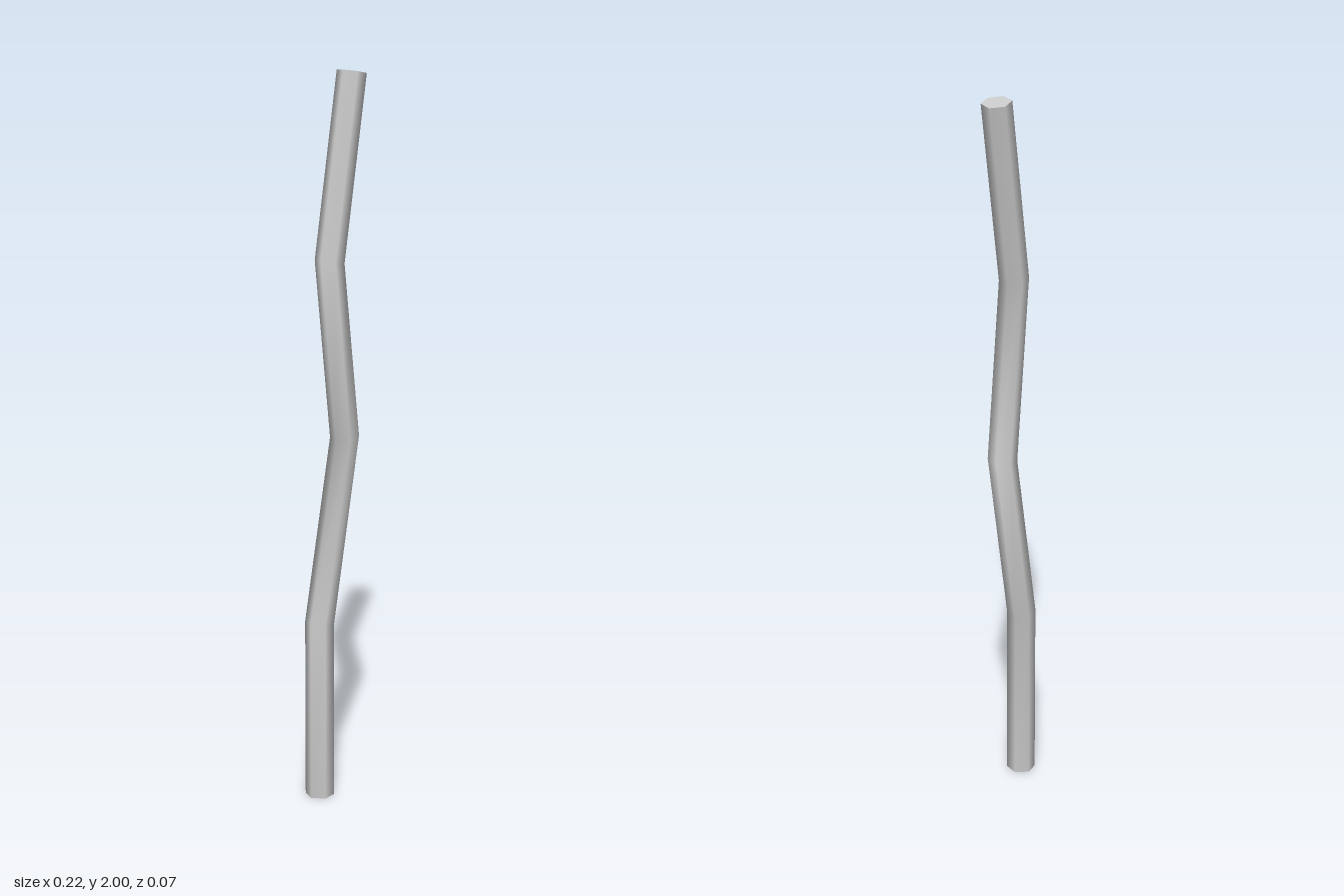
import * as THREE from 'three';

// Centre line of the rod: x, y and clockwise tilt of each cross-section (radians)
const RINGS = [
  [-0.072, 0, 0],
  [-0.072, 0.505, 0.15],
  [0.042, 1.01, -0.18],
  [-0.025, 1.5, 0.19],
  [0.072, 1.992, 0.19],
];

export function createModel() {
  const group = new THREE.Group();
  group.name = 'bentRod';

  // Six-sided cylinder with one row of vertices per bend, corners on the x axis
  const steps = RINGS.length - 1;
  const geometry = new THREE.CylinderGeometry(0.04, 0.04, steps, 6, steps);
  geometry.rotateY(Math.PI / 2);

  // Move each row to its place on the centre line and tilt it
  const axis = new THREE.Vector3(0, 0, 1);
  const p = new THREE.Vector3();
  const n = new THREE.Vector3();
  const { position, normal } = geometry.attributes;
  for (let i = 0; i < position.count; i++) {
    p.fromBufferAttribute(position, i);
    n.fromBufferAttribute(normal, i);
    const [x, y, tilt] = RINGS[Math.round(p.y + steps / 2)];
    p.setY(0).applyAxisAngle(axis, -tilt);
    n.applyAxisAngle(axis, -tilt);
    position.setXYZ(i, p.x + x, p.y + y, p.z);
    normal.setXYZ(i, n.x, n.y, n.z);
  }

  const rod = new THREE.Mesh(geometry, new THREE.MeshStandardMaterial({ color: 0xcccccc }));
  rod.name = 'rod';
  group.add(rod);
  return group;
}
